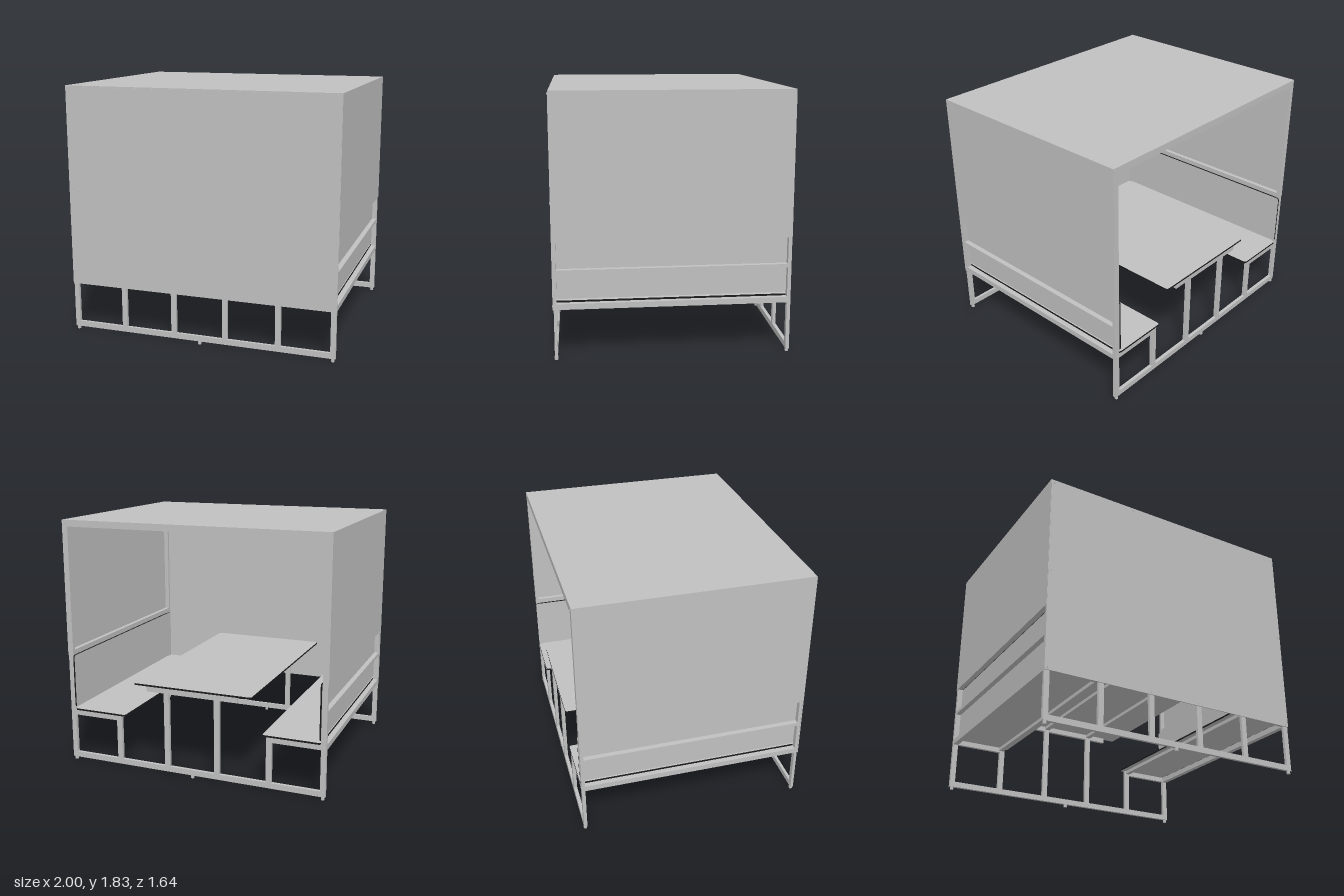
import * as THREE from 'three';

export function createModel() {
  const model = new THREE.Group();
  const grey = new THREE.MeshStandardMaterial({ color: 0xc0c0c0 });
  grey.name = 'light grey';
  const black = new THREE.MeshStandardMaterial({ color: 0x1c1c1c });
  black.name = 'black edging';

  // Box given by its limits on each axis
  function bar(name, x0, x1, y0, y1, z0, z1) {
    const mesh = new THREE.Mesh(new THREE.BoxGeometry(x1 - x0, y1 - y0, z1 - z0), grey);
    mesh.position.set((x0 + x1) / 2, (y0 + y1) / 2, (z0 + z1) / 2);
    mesh.name = name;
    model.add(mesh);
    return mesh;
  }
  // Same box on the +x side or mirrored to the -x side
  function sideBar(name, s, x0, x1, y0, y1, z0, z1) {
    return s > 0 ? bar(name, x0, x1, y0, y1, z0, z1) : bar(name, -x1, -x0, y0, y1, z0, z1);
  }
  // Round-cornered board with grey faces and black edge, centred on its faces
  function board(name, w, h, t) {
    const r = 0.018, a = w / 2, b = h / 2;
    const shape = new THREE.Shape();
    shape.absarc(a - r, b - r, r, 0, Math.PI / 2);
    shape.absarc(-a + r, b - r, r, Math.PI / 2, Math.PI);
    shape.absarc(-a + r, -b + r, r, Math.PI, Math.PI * 1.5);
    shape.absarc(a - r, -b + r, r, Math.PI * 1.5, Math.PI * 2);
    const geo = new THREE.ExtrudeGeometry(shape, { depth: t, bevelEnabled: false, curveSegments: 5 });
    geo.translate(0, 0, -t / 2);
    const mesh = new THREE.Mesh(geo, [grey, black]);
    mesh.name = name;
    model.add(mesh);
    return mesh;
  }
  // Small screw head or foot
  function disc(name, r, h, x, y, z, alongZ) {
    const mesh = new THREE.Mesh(new THREE.CylinderGeometry(r, r, h, 12), grey);
    if (alongZ) mesh.rotation.x = Math.PI / 2;
    mesh.position.set(x, y, z);
    mesh.name = name;
    model.add(mesh);
  }

  const OUT = 0.815, IN = 0.79;

  // Cladding
  bar('roofPanel', -1, 1, 1.818, 1.828, -OUT, OUT);
  bar('frontPanel', -0.998, 0.998, 0.36, 1.818, 0.811, 0.818);
  for (const s of [-1, 1]) sideBar('sidePanel', s, 0.993, 1, 0.823, 1.818, -OUT, OUT);

  // Front and back frames
  for (const e of [-1, 1]) {
    const z0 = e > 0 ? IN : -OUT, z1 = e > 0 ? 0.811 : -IN;
    const zMid = (z0 + z1) / 2;
    bar('bottomBeam', -0.995, 0.995, 0.022, 0.063, z0, z1);
    bar('topBeam', -0.993, 0.993, 1.78, 1.818, z0, z1);
    bar('tableEndBar', -0.35, 0.35, 0.618, 0.657, z0, z1);
    for (const s of [-1, 1]) {
      sideBar('cornerPost', s, 0.957, 0.995, 0.022, 1.818, z0, z1);
      sideBar('seatPost', s, 0.565, 0.605, 0.063, 0.362, z0, z1);
      sideBar('seatEndBar', s, 0.565, 0.957, 0.362, 0.4, z0, z1);
      sideBar('tablePost', s, 0.175, 0.215, 0.063, 0.618, z0, z1);
    }
    for (const x of [-0.975, 0, 0.975]) disc('foot', 0.013, 0.024, x, 0.012, zMid);
  }

  // Lengthwise rails between the two frames
  for (const s of [-1, 1]) {
    sideBar('roofSideRail', s, 0.957, 0.993, 1.78, 1.818, -IN, IN);
    sideBar('roofRail', s, 0.312, 0.35, 1.793, 1.818, -IN, IN);
    sideBar('upperSideRail', s, 0.96, 0.993, 0.825, 0.862, -IN, IN);
    sideBar('backrestRail', s, 0.958, 0.995, 0.61, 0.636, -IN, IN);
    sideBar('outerSeatRail', s, 0.957, 0.995, 0.36, 0.4, -IN, IN);
    sideBar('innerSeatRail', s, 0.575, 0.612, 0.374, 0.4, -IN, IN);
    sideBar('tableRail', s, 0.176, 0.214, 0.632, 0.657, -IN, IN);
  }

  // Table, seats and backrests
  const table = board('tableTop', 0.91, 1.625, 0.013);
  table.rotation.x = -Math.PI / 2;
  table.position.set(0, 0.6635, -0.006);
  for (const s of [-1, 1]) {
    const seat = board('seat', 0.42, 1.625, 0.013);
    seat.rotation.x = -Math.PI / 2;
    seat.position.set(s * 0.745, 0.4065, -0.006);
    const backrest = board('backrest', 1.61, 0.4, 0.011);
    backrest.rotation.y = Math.PI / 2;
    backrest.position.set(s * 0.9505, 0.625, -0.014);
  }

  // Screw heads on the front panel and back posts
  const screws = [[0.33, 1.805], [0.975, 1.805], [0.975, 1.09], [0.975, 0.38], [0.195, 0.38]];
  for (const [x, y] of screws) {
    for (const s of [-1, 1]) {
      disc('frontScrew', 0.007, 0.005, s * x, y, 0.819, true);
      if (x > 0.9) disc('backScrew', 0.007, 0.005, s * x, y, -0.816, true);
    }
  }
  return model;
}
